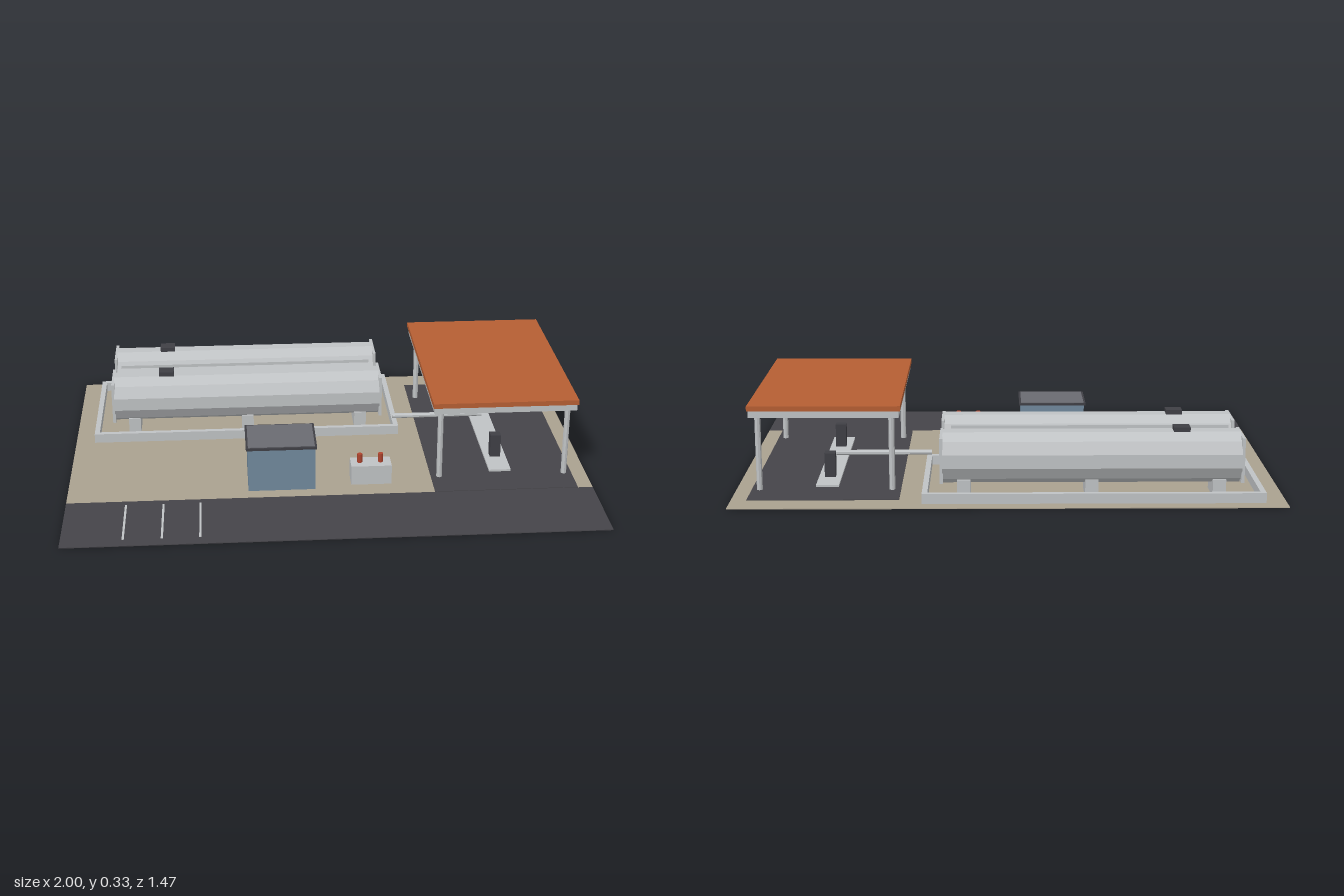
import * as THREE from 'three';

const mat = (name, color) => {
  const m = new THREE.MeshStandardMaterial({ color });
  m.name = name;
  return m;
};

export function createModel() {
  const soil = mat('soil', 0xaaa18f);
  const asphalt = mat('asphalt', 0x454449);
  const steel = mat('pale steel', 0xbfc2c4);
  const blue = mat('blue wall', 0x70889c);
  const orange = mat('orange roof', 0xb55e33);
  const red = mat('red valve', 0xb0452e);
  const dark = mat('dark metal', 0x3f3f45);
  const roofGrey = mat('roof grey', 0x6a6b71);
  steel.flatShading = true;

  const root = new THREE.Group();
  root.name = 'fuelDepot';

  // box given by its limits on each axis
  const box = (name, m, x0, x1, y0, y1, z0, z1, parent = root) => {
    const mesh = new THREE.Mesh(new THREE.BoxGeometry(x1 - x0, y1 - y0, z1 - z0), m);
    mesh.position.set((x0 + x1) / 2, (y0 + y1) / 2, (z0 + z1) / 2);
    mesh.name = name;
    parent.add(mesh);
    return mesh;
  };
  const post = (name, m, r, x, y0, y1, z, parent = root) => {
    const mesh = new THREE.Mesh(new THREE.CylinderGeometry(r, r, y1 - y0, 8), m);
    mesh.position.set(x, (y0 + y1) / 2, z);
    mesh.name = name;
    parent.add(mesh);
  };
  // cylinder lying along x
  const lying = (name, m, r, sides, x0, x1, y, z, parent = root) => {
    const g = new THREE.CylinderGeometry(r, r, x1 - x0, sides);
    g.rotateY(Math.PI / sides).rotateZ(Math.PI / 2);
    const mesh = new THREE.Mesh(g, m);
    mesh.position.set((x0 + x1) / 2, y, z);
    mesh.name = name;
    parent.add(mesh);
  };

  // ground, road and filling lane
  box('ground', soil, -1, 1, 0, 0.003, -0.737, 0.393);
  box('road', asphalt, -1, 1, 0, 0.003, 0.393, 0.735);
  box('fillingLane', asphalt, 0.393, 0.943, 0.003, 0.005, -0.635, 0.393);
  for (const x of [-0.775, -0.635, -0.497])
    box('parkingLine', steel, x - 0.004, x + 0.004, 0.003, 0.005, 0.425, 0.69);

  // low wall around the tanks
  const bund = new THREE.Group();
  bund.name = 'tankWall';
  root.add(bund);
  for (const z of [-0.685, -0.155]) box('longWall', steel, -0.925, 0.31, 0.001, 0.04, z, z + 0.02, bund);
  for (const x of [-0.925, 0.29]) box('shortWall', steel, x, x + 0.02, 0.001, 0.04, -0.665, -0.155, bund);

  // two horizontal tanks on saddles
  for (const z of [-0.547, -0.278]) {
    const tank = new THREE.Group();
    tank.name = 'storageTank';
    root.add(tank);
    lying('tankShell', steel, 0.097, 12, -0.842, 0.237, 0.145, z, tank);
    for (const x of [-0.852, 0.235])
      box('endPlate', steel, x, x + 0.012, 0.062, 0.228, z - 0.083, z + 0.083, tank);
    for (const x of [-0.765, -0.303, 0.16])
      box('saddle', steel, x - 0.024, x + 0.024, 0.001, 0.07, z - 0.065, z + 0.065, tank);
    box('hatch', dark, -0.66, -0.6, 0.23, 0.255, z - 0.027, z + 0.027, tank);
  }
  box('walkway', steel, -0.82, 0.21, 0.215, 0.227, -0.424, -0.4);
  lying('supplyPipe', steel, 0.01, 8, 0.29, 0.66, 0.062, -0.187);

  // control hut
  box('hutWalls', blue, -0.315, -0.06, 0.001, 0.175, 0.13, 0.338);
  box('hutRoof', dark, -0.322, -0.053, 0.173, 0.182, 0.125, 0.343);
  box('hutRoofPanel', roofGrey, -0.314, -0.061, 0.182, 0.184, 0.133, 0.335);

  // pump block with two valves
  box('pumpBlock', steel, 0.08, 0.235, 0.001, 0.08, 0.232, 0.312);
  for (const x of [0.115, 0.195]) post('valve', red, 0.01, x, 0.08, 0.115, 0.272);

  // canopy on four posts
  box('canopyRoof', orange, 0.39, 0.945, 0.312, 0.331, -0.552, 0.312);
  box('canopyFascia', steel, 0.395, 0.94, 0.287, 0.312, -0.547, 0.307);
  for (const x of [0.425, 0.913])
    for (const z of [-0.5, 0.265]) post('canopyPost', steel, 0.011, x, 0.001, 0.288, z);

  // pump island and dispensers
  box('pumpIsland', steel, 0.625, 0.71, 0.001, 0.013, -0.47, 0.24);
  for (const z of [-0.342, 0.105])
    box('dispenser', dark, 0.647, 0.688, 0.012, 0.105, z - 0.019, z + 0.019);

  return root;
}
